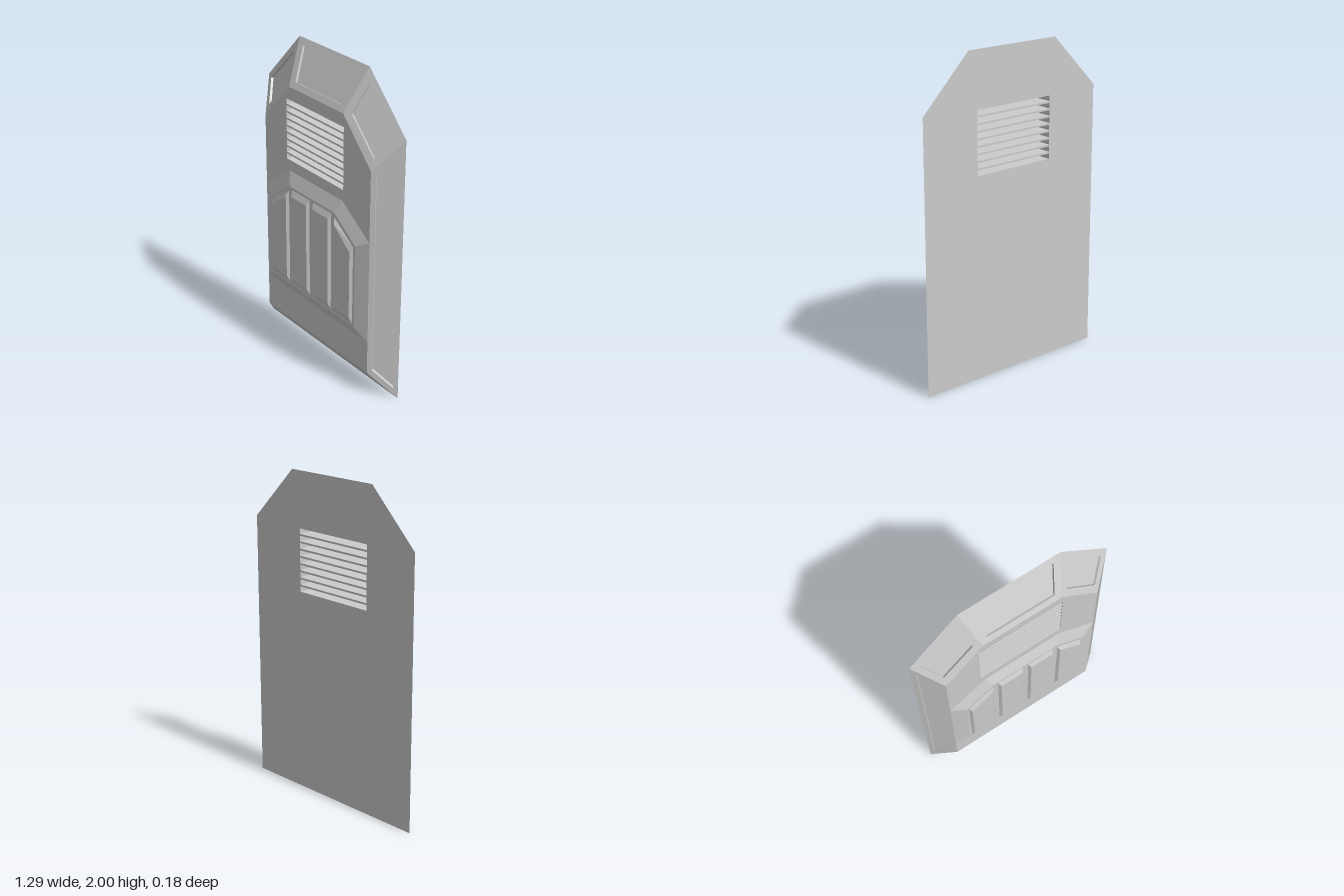
import * as THREE from 'three';

const BACK = -0.088, FACE = 0.04, RAISED = 0.072, RIB = 0.088;
const material = new THREE.MeshStandardMaterial({ color: 0xcccccc, flatShading: true });

const at = (points, z) => points.map(([x, y]) => new THREE.Vector3(x, y, z));
const rect = (x0, y0, x1, y1) => [[x0, y0], [x1, y0], [x1, y1], [x0, y1]];

// Joins rings of corners (counter-clockwise from the front), optionally capping the last one
function loft(rings, cap = true) {
  const pos = [];
  const tri = (...corners) => corners.forEach(v => pos.push(v.x, v.y, v.z));
  for (let r = 0; r + 1 < rings.length; r++) {
    const a = rings[r], b = rings[r + 1];
    a.forEach((_, i) => {
      const j = (i + 1) % a.length;
      tri(a[i], a[j], b[j]);
      tri(a[i], b[j], b[i]);
    });
  }
  const end = rings[rings.length - 1];
  if (cap) for (let i = 1; i + 1 < end.length; i++) tri(end[0], end[i], end[i + 1]);
  const g = new THREE.BufferGeometry();
  g.setAttribute('position', new THREE.Float32BufferAttribute(pos, 3));
  g.computeVertexNormals();
  return g;
}

// Flat plate with holes, facing the front or the back
function plate(outline, holes, z, flip) {
  const vectors = pts => pts.map(([x, y]) => new THREE.Vector2(x, y));
  const shape = new THREE.Shape(vectors(outline));
  holes.forEach(h => shape.holes.push(new THREE.Path(vectors(h))));
  const g = new THREE.ShapeGeometry(shape).translate(0, 0, z);
  if (flip) {
    g.setIndex(Array.from(g.index.array).reverse());
    g.computeVertexNormals();
  }
  return g;
}

// Sloping border face with a sunken panel
function recessed(quad, hole, depth) {
  const plane = new THREE.Plane().setFromCoplanarPoints(quad[0], quad[1], quad[2]);
  const n = plane.normal;
  const rim = hole.map(([x, y]) =>
    new THREE.Vector3(x, y, -(plane.constant + n.x * x + n.y * y) / n.z));
  const floor = rim.map(v => v.clone().addScaledVector(n, -depth));
  return loft([quad, rim, floor]);
}

export function createModel() {
  const group = new THREE.Group();
  const add = (name, geometry) => {
    const mesh = new THREE.Mesh(geometry, material);
    mesh.name = name;
    group.add(mesh);
  };

  const outer = [[-0.643, 0], [0.643, 0], [0.643, 1.675], [0.322, 2], [-0.322, 2], [-0.643, 1.675]];
  const inner = [[-0.505, 0.16], [0.505, 0.16], [0.505, 1.475], [0.255, 1.735], [-0.255, 1.735], [-0.505, 1.475]];

  // Front and back plates with the vent slots cut through
  const slots = [];
  for (let i = 0; i < 9; i++) {
    const y = 1.27 + i * 0.0441;
    slots.push(rect(-0.285, y, 0.262, y + 0.033));
  }
  add('frontPlate', plate(inner, slots, FACE, false));
  add('backPlate', plate(outer, slots, BACK, true));
  slots.forEach(s => add('ventSlot', loft([at(s, FACE), at(s, BACK)], false)));

  // Sloping border, sunken on every side but the bottom
  const mirror = h => [1, 0, 3, 2].map(i => [-h[i][0], h[i][1]]);
  const side = [[0.621, 0.07], [0.621, 1.6], [0.527, 1.46], [0.527, 0.18]];
  const corner = [[0.59, 1.67], [0.35, 1.91], [0.302, 1.745], [0.5, 1.545]];
  const top = [[0.265, 1.96], [-0.265, 1.96], [-0.217, 1.772], [0.217, 1.772]];
  const holes = [null, side, corner, top, mirror(corner), mirror(side)];
  const names = ['bottomBevel', 'leftBevel', 'leftCornerBevel', 'topBevel', 'rightCornerBevel', 'rightBevel'];
  const o = at(outer, BACK), f = at(inner, FACE);
  names.forEach((name, i) => {
    const j = (i + 1) % 6;
    const quad = [o[i], o[j], f[j], f[i]];
    const depth = i === 1 || i === 5 ? 0.022 : 0.015;
    add(name, holes[i] ? recessed(quad, holes[i], depth) : loft([quad]));
  });

  // Raised central panel
  const base = [[-0.505, 0.373], [0.505, 0.373], [0.505, 1.03], [0.255, 1.2], [-0.255, 1.2], [-0.505, 1.03]];
  const crest = [[-0.415, 0.443], [0.415, 0.443], [0.415, 0.985], [0.22, 1.12], [-0.22, 1.12], [-0.415, 0.985]];
  add('raisedPanel', loft([at(base, FACE), at(crest, RAISED)]));

  // Four bevelled ribs; the outer two have slanted tops
  const ribs = [[-0.398, -0.224, 0.97, 1.09], [-0.192, -0.018, 1.103, 1.103],
    [0.018, 0.192, 1.103, 1.103], [0.224, 0.398, 1.09, 0.97]];
  ribs.forEach(([x0, x1, y0, y1]) => {
    const b = 0.013;
    const foot = [[x0, 0.463], [x1, 0.463], [x1, y1], [x0, y0]];
    const face = [[x0 + b, 0.5], [x1 - b, 0.5], [x1 - b, y1 - 0.035], [x0 + b, y0 - 0.035]];
    add('rib', loft([at(foot, RAISED), at(face, RIB)]));
  });
  return group;
}
